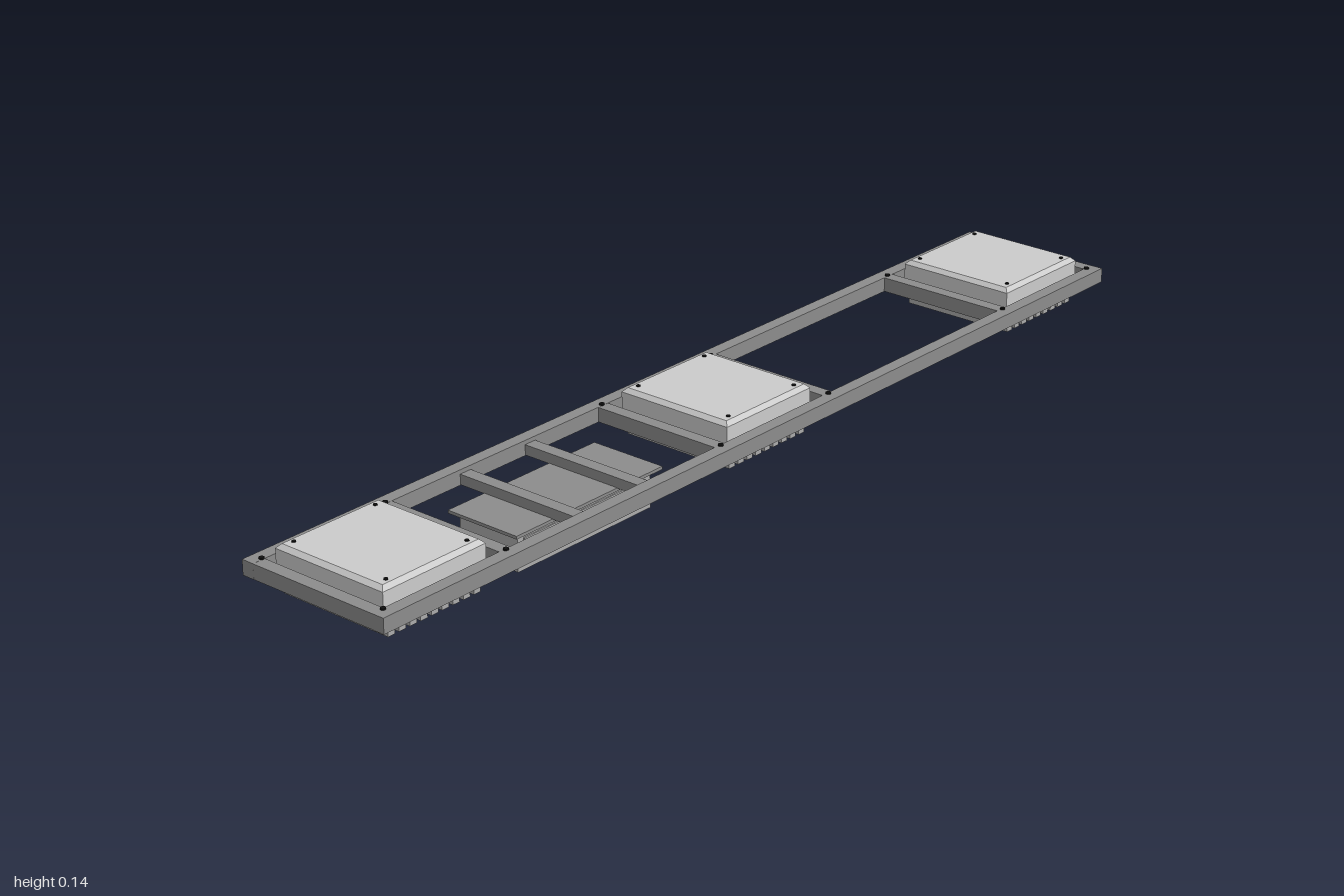
import * as THREE from 'three';

const mat = (color) => new THREE.MeshStandardMaterial({ color, flatShading: true });
const light = mat(0xcccccc);
const frameMat = mat(0x8c8c8c);
const caseMat = mat(0xaaaaaa);
const black = mat(0x111111);
const red = mat(0xaa1111);

function add(parent, name, geometry, material, x, y, z) {
  const mesh = new THREE.Mesh(geometry, material);
  mesh.name = name;
  mesh.position.set(x, y, z);
  parent.add(mesh);
  return mesh;
}

// Box given by its min and max corners
function block(parent, name, material, [x0, y0, z0], [x1, y1, z1]) {
  return add(parent, name, new THREE.BoxGeometry(x1 - x0, y1 - y0, z1 - z0), material,
    (x0 + x1) / 2, (y0 + y1) / 2, (z0 + z1) / 2);
}

function screw(parent, name, x, y, z, r = 0.005, h = 0.004) {
  add(parent, name, new THREE.CylinderGeometry(r, r, h, 12), black, x, y, z);
}

// Rectangular plate whose top edges are chamfered
function chamferedPlate(w, h, d, c) {
  const geometry = new THREE.BoxGeometry(w, h, d, 1, 2, 1);
  const p = geometry.attributes.position;
  for (let i = 0; i < p.count; i++) {
    if (p.getY(i) > h / 4) {
      p.setX(i, p.getX(i) - Math.sign(p.getX(i)) * c);
      p.setZ(i, p.getZ(i) - Math.sign(p.getZ(i)) * c);
    } else if (Math.abs(p.getY(i)) < h / 4) p.setY(i, h / 2 - c);
  }
  geometry.computeVertexNormals();
  return geometry;
}

// Lamp head with finned heat sink below
function lamp(x) {
  const g = new THREE.Group();
  g.name = 'lamp';
  g.position.x = x;
  add(g, 'lampHousing', chamferedPlate(0.234, 0.055, 0.248, 0.008), light, 0, 0.1065, 0);
  for (const sx of [-1, 1]) for (const sz of [-1, 1])
    screw(g, 'lampScrew', sx * 0.092, 0.134, sz * 0.106, 0.004);
  block(g, 'heatSinkBase', caseMat, [-0.108, 0.074, -0.12], [0.108, 0.082, 0.12]);
  const fins = 9, pitch = 0.0245;
  for (let i = 0; i < fins; i++) {
    const fx = (i - (fins - 1) / 2) * pitch;
    block(g, 'heatSinkFin', caseMat, [fx - 0.008, 0.041, -0.12], [fx + 0.008, 0.076, 0.12]);
  }
  return g;
}

// Power supply hanging on a plate under two cross bars
function powerSupply() {
  const g = new THREE.Group();
  g.name = 'powerSupply';
  for (const x of [-0.508, -0.345])
    block(g, 'supportBar', frameMat, [x - 0.013, 0.08, -0.14], [x + 0.013, 0.1, 0.14]);
  block(g, 'mountingPlate', frameMat, [-0.61, 0.075, -0.08], [-0.24, 0.081, 0.08]);
  block(g, 'supplyCase', caseMat, [-0.595, 0.004, -0.067], [-0.258, 0.076, 0.067]);
  // Raised rims on the long sides
  for (const s of [-1, 1]) {
    const z = s * 0.068;
    block(g, 'sidePanel', caseMat, [-0.58, 0.016, z - 0.002], [-0.273, 0.064, z + 0.002]);
  }
  for (const x of [-0.575, -0.278]) for (const z of [-0.048, 0.048])
    screw(g, 'caseScrew', x, 0.002, z);
  block(g, 'voltageSwitch', red, [-0.575, 0.002, -0.013], [-0.53, 0.006, 0.013]);
  return g;
}

export function createModel() {
  const model = new THREE.Group();
  model.name = 'lightBar';

  // Frame rails and cross bars
  const frame = new THREE.Group();
  frame.name = 'frame';
  model.add(frame);
  for (const s of [-1, 1]) {
    const z = s * 0.15;
    block(frame, 'rail', frameMat, [-1, 0.079, z - 0.013], [1, 0.108, z + 0.013]);
  }
  for (const x of [-0.987, -0.698, -0.153, 0.15, 0.692, 0.987]) {
    block(frame, 'crossBar', frameMat, [x - 0.0129, 0.0792, -0.138], [x + 0.0129, 0.1078, 0.138]);
    const sx = Math.sign(x) * Math.min(Math.abs(x), 0.978);
    for (const z of [-0.14, 0.14]) screw(frame, 'frameScrew', sx, 0.109, z);
  }

  for (const x of [-0.845, 0, 0.845]) model.add(lamp(x));
  model.add(powerSupply());
  return model;
}
